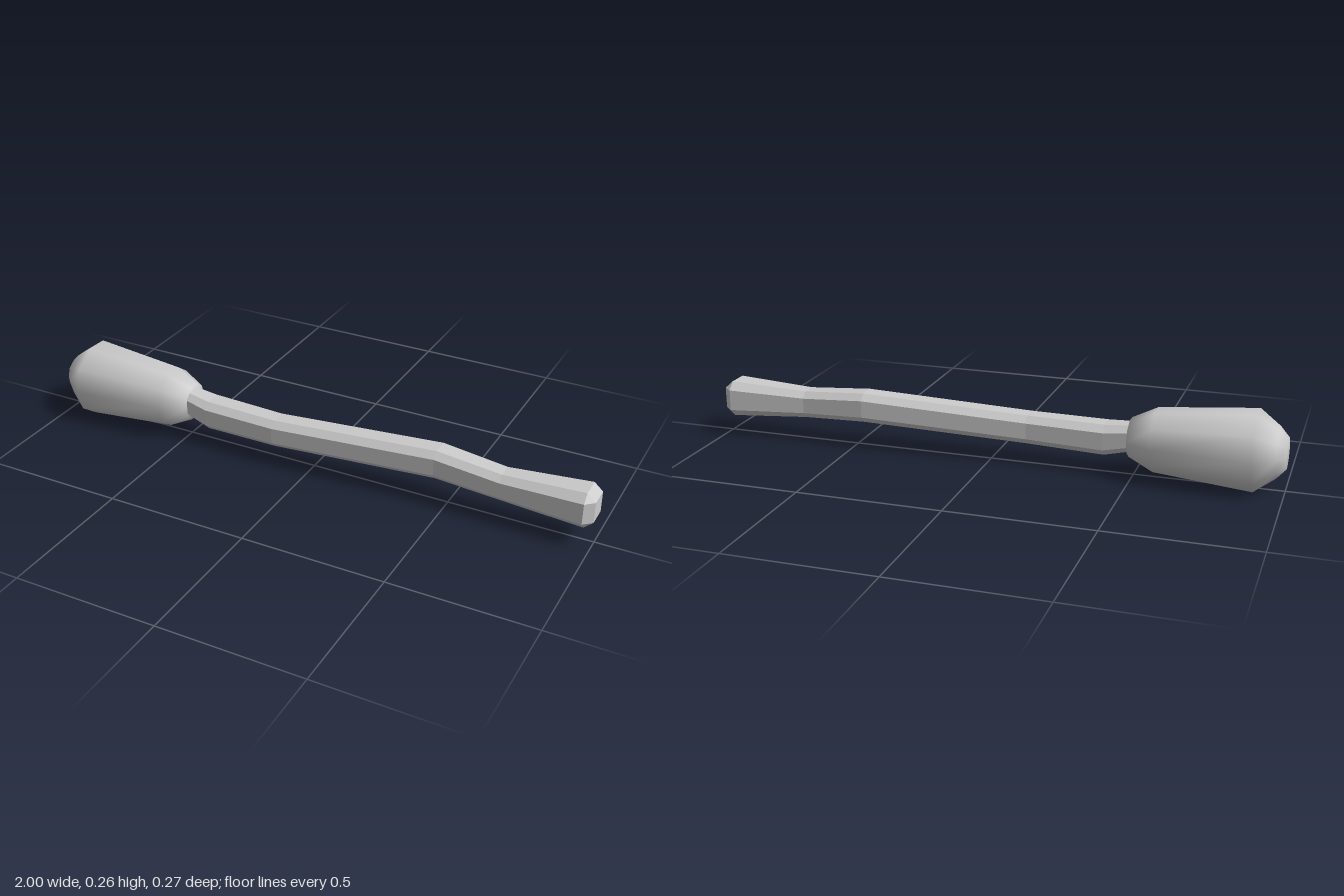
import * as THREE from 'three';

// Swept handle: each section is [x, centreY, centreZ, halfSize, chamfer]
function sweepHandle(sections) {
  const pos = [];
  const rings = sections.map(([x, cy, cz, h, c]) => {
    const k = h - c;
    return [[k, h], [h, k], [h, -k], [k, -h], [-k, -h], [-h, -k], [-h, k], [-k, h]]
      .map(([z, y]) => new THREE.Vector3(x, cy + y, cz + z));
  });
  const tri = (a, b, c) => {
    const area = b.clone().sub(a).cross(c.clone().sub(a)).length();
    if (area > 1e-8) for (const p of [a, b, c]) pos.push(p.x, p.y, p.z);
  };
  for (let i = 0; i < rings.length - 1; i++) {
    for (let j = 0; j < 8; j++) {
      const a = rings[i][j], b = rings[i][(j + 1) % 8];
      const c = rings[i + 1][(j + 1) % 8], d = rings[i + 1][j];
      tri(a, b, c);
      tri(a, c, d);
    }
  }
  // End caps
  const first = rings[0], last = rings[rings.length - 1];
  for (let j = 1; j < 7; j++) {
    tri(first[0], first[j + 1], first[j]);
    tri(last[0], last[j], last[j + 1]);
  }
  const g = new THREE.BufferGeometry();
  g.setAttribute('position', new THREE.Float32BufferAttribute(pos, 3));
  g.computeVertexNormals();
  return g;
}

export function createModel() {
  const group = new THREE.Group();

  // Ten-sided bulbous head, turned around the x axis
  const profile = [
    [0, -1], [0.052, -1], [0.085, -0.97], [0.137, -0.9],
    [0.108, -0.57], [0.066, -0.485], [0, -0.48],
  ].map(([r, x]) => new THREE.Vector2(r, x));
  const headGeo = new THREE.LatheGeometry(profile, 10);
  headGeo.rotateZ(-Math.PI / 2);
  const head = new THREE.Mesh(headGeo, new THREE.MeshStandardMaterial({ color: 0xcccccc }));
  head.name = 'head';
  head.position.y = 0.131;
  group.add(head);

  // Crooked chamfered wooden handle with a bevelled butt
  const handle = new THREE.Mesh(
    sweepHandle([
      [-0.52, 0.138, 0, 0.043, 0.019],
      [-0.4, 0.118, 0.011, 0.053, 0.023],
      [-0.13, 0.121, 0.022, 0.05, 0.022],
      [0.46, 0.148, -0.005, 0.052, 0.022],
      [0.69, 0.133, 0.007, 0.048, 0.021],
      [0.97, 0.133, 0.001, 0.064, 0.027],
      [1, 0.133, 0.001, 0.037, 0],
    ]),
    new THREE.MeshStandardMaterial({ color: 0xcccccc, flatShading: true }),
  );
  handle.name = 'handle';
  group.add(handle);

  return group;
}
